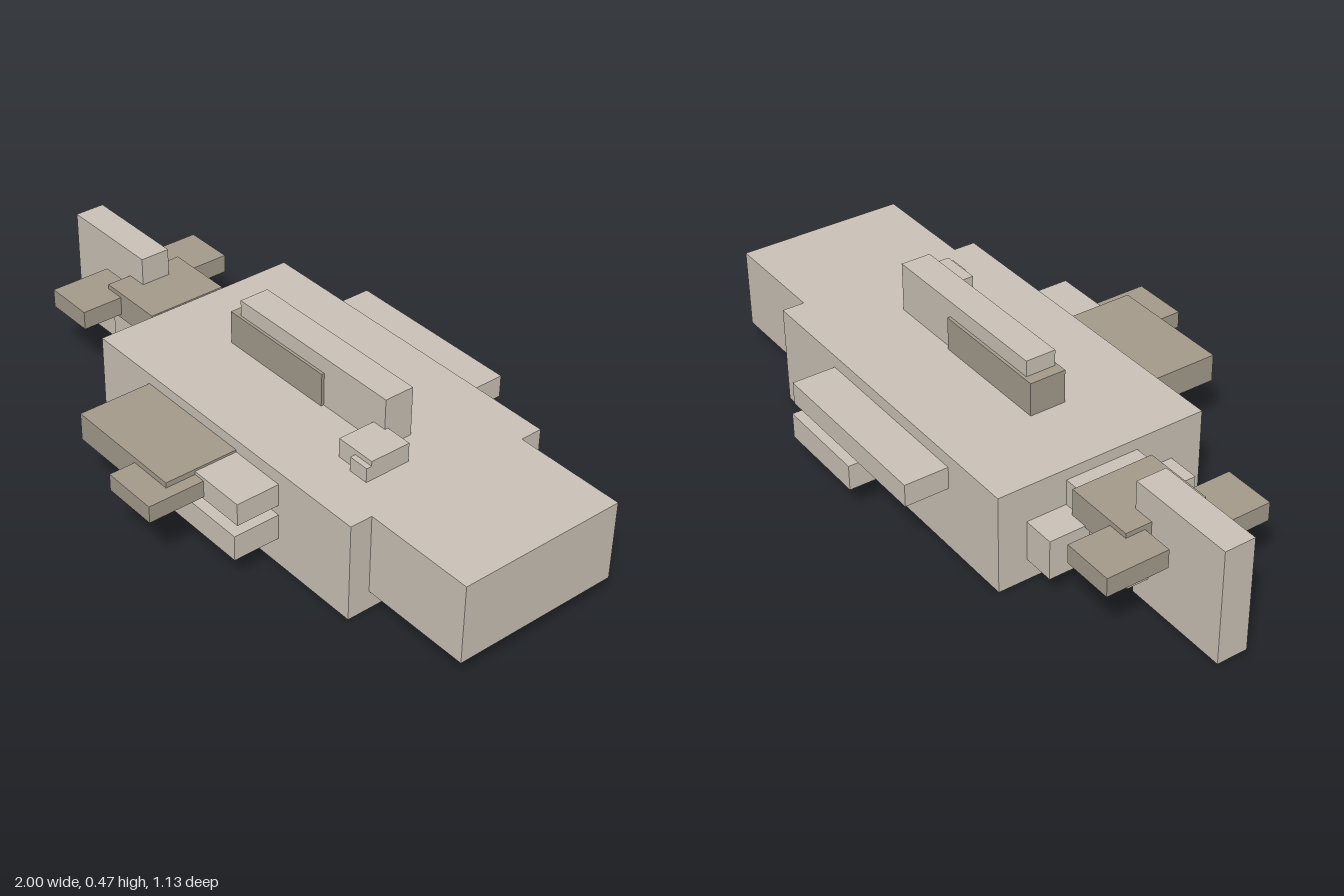
import * as THREE from 'three';

export function createModel() {
  const model = new THREE.Group();
  model.name = 'blockFish';

  const paleScales = new THREE.MeshStandardMaterial({ color: 0xcbc3b8 });
  paleScales.name = 'pale scales';
  const darkFins = new THREE.MeshStandardMaterial({ color: 0xa49b8c });
  darkFins.name = 'dark fins';

  // Block given by its extents along each axis
  function block(parent, name, material, [x0, x1], [y0, y1], [z0, z1]) {
    const mesh = new THREE.Mesh(new THREE.BoxGeometry(x1 - x0, y1 - y0, z1 - z0), material);
    mesh.position.set((x0 + x1) / 2, (y0 + y1) / 2, (z0 + z1) / 2);
    mesh.name = name;
    parent.add(mesh);
  }

  function group(name) {
    const g = new THREE.Group();
    g.name = name;
    model.add(g);
    return g;
  }

  // Body and head
  block(model, 'body', paleScales, [-0.45, 0.65], [0, 0.31], [-0.42, 0.25]);
  block(model, 'head', paleScales, [0.65, 1], [0.06, 0.31], [-0.35, 0.18]);

  // Raised eye on top
  const eye = group('eye');
  block(eye, 'eyeLump', paleScales, [0.405, 0.535], [0.31, 0.37], [-0.047, 0.083]);
  block(eye, 'eyeRim', paleScales, [0.47, 0.535], [0.31, 0.355], [0.083, 0.1]);

  // Back fin with a dark base
  const dorsal = group('dorsalFin');
  block(dorsal, 'dorsalCrest', paleScales, [-0.168, 0.45], [0.31, 0.465], [-0.131, -0.036]);
  block(dorsal, 'dorsalBase', darkFins, [-0.202, 0.2], [0.31, 0.415], [-0.141, -0.027]);

  // Front side fins
  const frontFin = group('frontSideFin');
  block(frontFin, 'upperFin', paleScales, [-0.21, 0.36], [0.2, 0.27], [0.25, 0.388]);
  block(frontFin, 'lowerFin', paleScales, [0.055, 0.36], [0.088, 0.168], [0.25, 0.398]);
  block(frontFin, 'darkFin', darkFins, [-0.22, 0.178], [0.19, 0.277], [0.25, 0.483]);
  block(frontFin, 'darkFinTip', darkFins, [0.036, 0.215], [0.207, 0.26], [0.388, 0.565]);

  // Rear side fins
  const rearFin = group('rearSideFin');
  block(rearFin, 'upperFin', paleScales, [-0.22, 0.36], [0.2, 0.27], [-0.556, -0.42]);
  block(rearFin, 'lowerFin', paleScales, [0.055, 0.36], [0.088, 0.168], [-0.565, -0.42]);

  // Tail root, upright tail fin and dark side flaps
  const tail = group('tail');
  block(tail, 'tailCollar', paleScales, [-0.552, -0.45], [0.07, 0.195], [-0.33, 0.15]);
  block(tail, 'tailRoot', paleScales, [-0.715, -0.45], [0.088, 0.275], [-0.203, 0.03]);
  block(tail, 'tailFin', paleScales, [-1, -0.653], [0.005, 0.367], [-0.134, -0.038]);
  block(tail, 'tailSaddle', darkFins, [-0.72, -0.495], [0.19, 0.279], [-0.217, 0.043]);
  for (const [name, z] of [['rearFlap', [-0.35, -0.155]], ['frontFlap', [-0.02, 0.176]]]) {
    block(tail, name, darkFins, [-0.818, -0.655], [0.205, 0.264], z);
  }

  return model;
}
